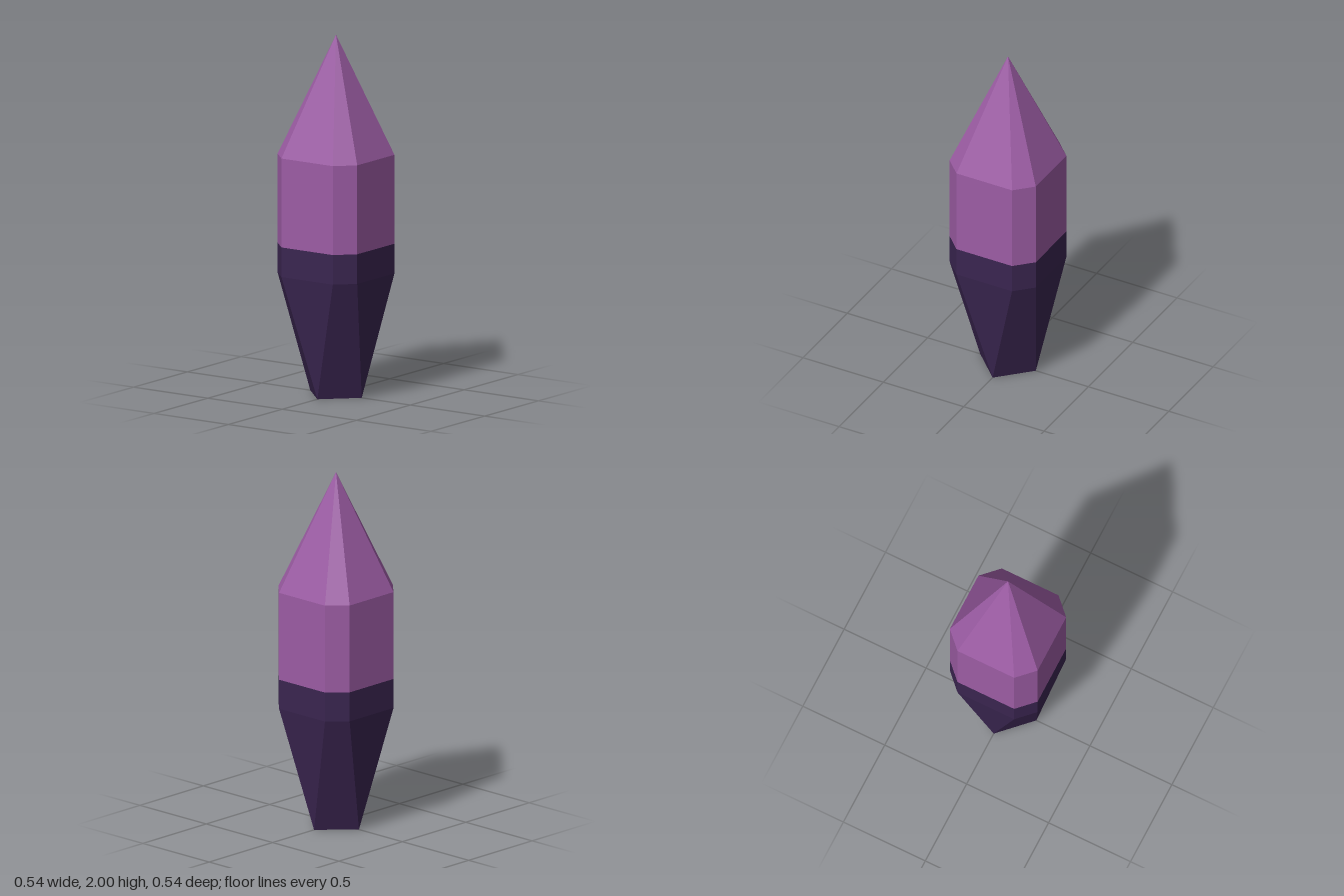
import * as THREE from 'three';

const HALF = 0.268, FLAT = 0.173, FOOT = 0.173;

// Eight points per ring, running front -> right -> back -> left
function ring(y, half, flat) {
  const points = [];
  for (let i = 0; i < 4; i++) {
    for (const s of [-flat, flat]) {
      points.push(new THREE.Vector3(s, y, half).applyAxisAngle(new THREE.Vector3(0, 1, 0), i * Math.PI / 2));
    }
  }
  return points;
}

// Flat-faced skin between successive rings, skipping collapsed triangles
function skin(rings, capBottom = false) {
  const positions = [];
  const triangle = (a, b, c) => {
    if (new THREE.Triangle(a, b, c).getArea() < 1e-7) return;
    for (const p of [a, b, c]) positions.push(p.x, p.y, p.z);
  };
  for (let r = 0; r < rings.length - 1; r++) {
    const lower = rings[r], upper = rings[r + 1];
    for (let i = 0; i < 8; i++) {
      const j = (i + 1) % 8;
      triangle(lower[i], lower[j], upper[j]);
      triangle(lower[i], upper[j], upper[i]);
    }
  }
  if (capBottom) {
    const base = rings[0];
    for (let i = 1; i < 7; i++) triangle(base[0], base[i + 1], base[i]);
  }
  const geometry = new THREE.BufferGeometry();
  geometry.setAttribute('position', new THREE.Float32BufferAttribute(positions, 3));
  geometry.computeVertexNormals();
  return geometry;
}

export function createModel() {
  const purple = new THREE.MeshStandardMaterial({ color: 0x9c5ca4 });
  purple.name = 'purple crystal';
  const dark = new THREE.MeshStandardMaterial({ color: 0x3a2550 });
  dark.name = 'dark violet';

  const group = new THREE.Group();
  group.name = 'crystal';
  const add = (name, geometry, material) => {
    const mesh = new THREE.Mesh(geometry, material);
    mesh.name = name;
    group.add(mesh);
  };

  // Dark base: octagon tapering to a diamond-shaped foot
  add('base', skin([ring(0, FOOT, 0), ring(0.675, HALF, FLAT), ring(0.84, HALF, FLAT)], true), dark);

  // Purple shaft rising to a pointed tip
  add('shaft', skin([ring(0.84, HALF, FLAT), ring(1.335, HALF, FLAT)]), purple);
  add('tip', skin([ring(1.335, HALF, FLAT), ring(2, 0, 0)]), purple);

  return group;
}
